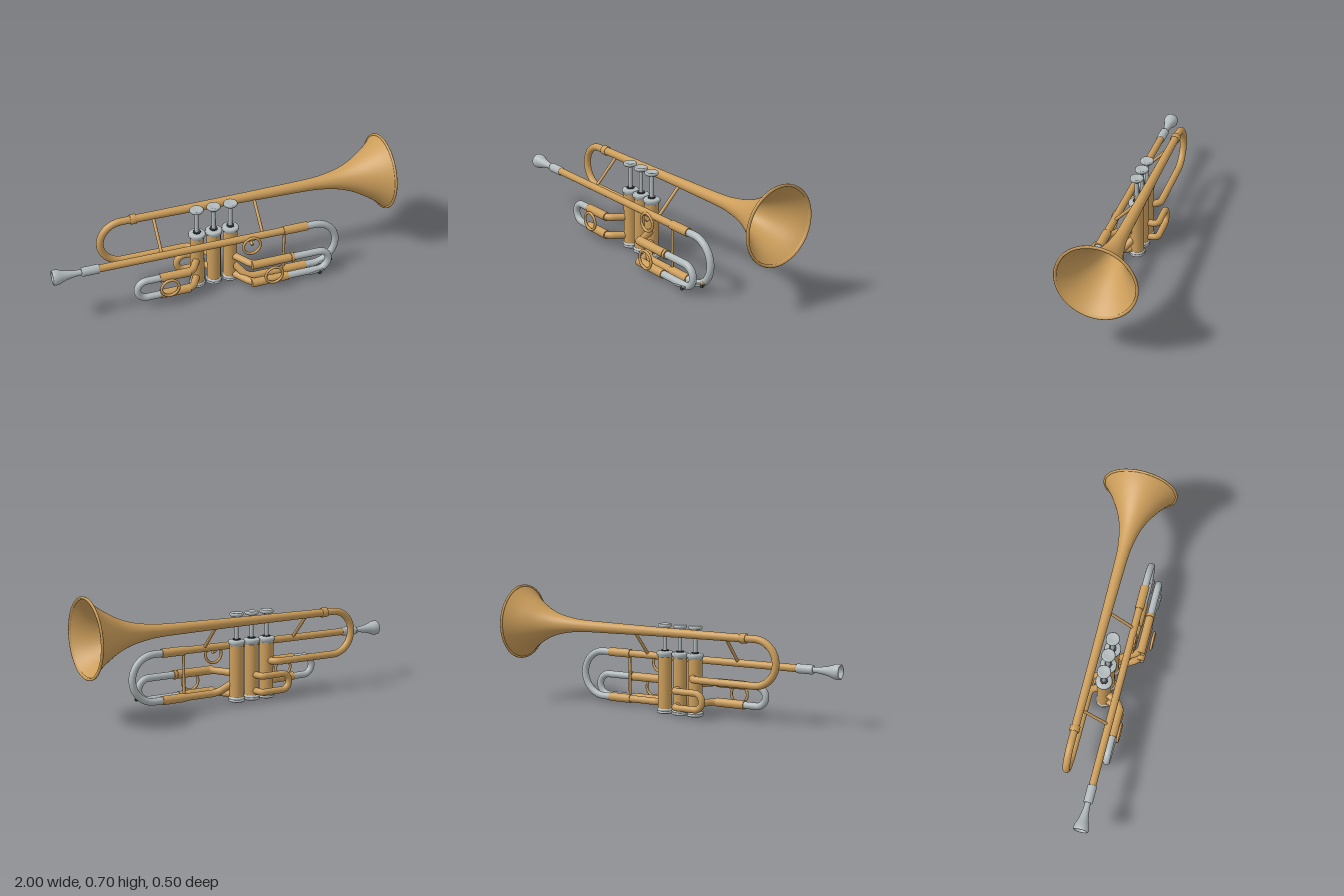
import * as THREE from 'three';

const mat = (name, color, side = THREE.FrontSide) => {
  const m = new THREE.MeshStandardMaterial({ color, side });
  m.name = name;
  return m;
};

export function createModel() {
  const root = new THREE.Group();
  root.name = 'trumpet';
  const brass = mat('brass', 0xcb9d5a, THREE.DoubleSide);
  const silver = mat('silver', 0xb2babc, THREE.DoubleSide);
  const felt = mat('dark felt', 0x3c3e40);
  const V = (x, y, z) => new THREE.Vector3(x, y, z);

  const add = (name, geo, material, x = 0, y = 0, z = 0) => {
    const m = new THREE.Mesh(geo, material);
    m.name = name;
    m.position.set(x, y, z);
    root.add(m);
    return m;
  };

  // tube along points, each inner corner rounded with the given bend length
  const pipe = (name, material, r, bend, pts) => {
    const p = pts.map((a) => V(...a));
    const path = new THREE.CurvePath();
    let last = p[0];
    const lineTo = (q) => {
      if (last.distanceTo(q) > 1e-4) path.add(new THREE.LineCurve3(last, q));
      last = q;
    };
    for (let i = 1; i < p.length - 1; i++) {
      const toward = (q, d) => p[i].clone().add(q.clone().sub(p[i]).setLength(d));
      const a = toward(p[i - 1], bend), b = toward(p[i + 1], bend);
      lineTo(a);
      path.add(new THREE.CubicBezierCurve3(a, a.clone().lerp(p[i], 0.5523), b.clone().lerp(p[i], 0.5523), b));
      last = b;
    }
    lineTo(p[p.length - 1]);
    const n = Math.max(8, Math.ceil(path.getLength() / 0.01));
    return add(name, new THREE.TubeGeometry(path, n, r, 20), material);
  };

  // closed rod between two points
  const rod = (name, material, r, a, b) => {
    const A = V(...a), B = V(...b), d = B.clone().sub(A);
    const m = add(name, new THREE.CylinderGeometry(r, r, d.length(), 24), material);
    m.position.copy(A).lerp(B, 0.5);
    m.quaternion.setFromUnitVectors(V(0, 1, 0), d.normalize());
    return m;
  };
  const rodX = (name, material, r, x0, x1, y, z) => rod(name, material, r, [x0, y, z], [x1, y, z]);

  // lathe around the x axis, profile given as [x, radius]
  const latheX = (name, material, prof, y, z, seg = 64) => {
    const g = new THREE.LatheGeometry(prof.map(([x, r]) => new THREE.Vector2(r, x)), seg);
    g.rotateZ(-Math.PI / 2);
    return add(name, g, material, 0, y, z);
  };

  // bell flare
  const BY = 0.475, BZ = -0.028;
  const flare = new THREE.SplineCurve([
    [-0.5, 0.022], [0, 0.026], [0.3, 0.03], [0.55, 0.035], [0.65, 0.045], [0.74, 0.064],
    [0.82, 0.095], [0.9, 0.141], [0.95, 0.176], [0.992, 0.213],
  ].map((a) => new THREE.Vector2(...a)));
  latheX('bell', brass, flare.getPoints(60).map((v) => [v.x, v.y]), BY, BZ);
  latheX('bellRim', brass, [[0.99, 0.206], [0.986, 0.214], [0.989, 0.22], [0.996, 0.221],
    [1.0, 0.217], [1.0, 0.208], [0.99, 0.204]], BY, BZ);

  // bell crook running back into the first valve
  pipe('bellCrook', brass, 0.0205, 0.1275, [[-0.48, BY, BZ], [-0.6925, BY, BZ], [-0.6925, 0.22, BZ], [-0.38, 0.22, BZ]]);
  pipe('bellTail', brass, 0.0205, 0.035, [[-0.4, 0.22, BZ], [-0.17, 0.22, BZ], [-0.155, 0.22, 0.047]]);
  latheX('crookFerrule', brass, [[-0.515, 0.02], [-0.515, 0.028], [-0.482, 0.028], [-0.482, 0.02]], BY, BZ, 32);

  // valves
  const VZ = 0.047, valveX = [-0.155, -0.056, 0.043];
  const turned = (name, material, x, prof) =>
    add(name, new THREE.LatheGeometry(prof.map(([r, y]) => new THREE.Vector2(r, y)), 36), material, x, 0, VZ);
  for (const x of valveX) {
    rod('valveCasing', brass, 0.04, [x, 0.025, VZ], [x, 0.34, VZ]);
    turned('bottomCap', silver, x, [[0, 0], [0.042, 0], [0.047, 0.004], [0.047, 0.01], [0.043, 0.012],
      [0.043, 0.016], [0.047, 0.018], [0.047, 0.024], [0.04, 0.029]]);
    turned('topCap', silver, x, [[0.04, 0.325], [0.043, 0.328], [0.043, 0.335], [0.048, 0.337],
      [0.048, 0.35], [0.044, 0.355], [0.02, 0.358], [0, 0.358]]);
    rod('valveFelt', felt, 0.022, [x, 0.355, VZ], [x, 0.364, VZ]);
    rod('valveStem', silver, 0.012, [x, 0.35, VZ], [x, 0.495, VZ]);
    turned('fingerButton', silver, x, [[0, 0.488], [0.016, 0.489], [0.034, 0.494], [0.039, 0.5],
      [0.039, 0.509], [0.034, 0.514], [0.026, 0.511], [0, 0.509]]);
  }

  // leadpipe, receiver and mouthpiece
  const LY = 0.31, LZ = 0.132;
  rodX('leadpipe', brass, 0.021, -0.76, 0.35, LY, LZ);
  latheX('receiver', silver, [[-0.84, 0.015], [-0.84, 0.024], [-0.835, 0.026], [-0.745, 0.026], [-0.74, 0.02]], LY, LZ, 32);
  latheX('mouthpiece', silver, [[-0.95, 0.006], [-0.965, 0.02], [-0.988, 0.03], [-0.997, 0.033], [-1, 0.037],
    [-0.997, 0.042], [-0.985, 0.043], [-0.968, 0.041], [-0.95, 0.034], [-0.925, 0.026], [-0.89, 0.02],
    [-0.87, 0.017], [-0.82, 0.015]], LY, LZ, 32);

  // main tuning slide
  pipe('mainTuningSlide', silver, 0.0205, 0.135, [[0.44, LY, LZ], [0.656, LY, LZ], [0.656, 0.04, LZ], [0.44, 0.04, LZ]]);
  for (const y of [LY, 0.04]) rodX('mainSlideSleeve', brass, 0.0255, 0.33, 0.475, y, LZ);
  pipe('mainSlideReturn', brass, 0.021, 0.04, [[0.35, 0.04, LZ], [0.12, 0.04, LZ], [0.043, 0.12, 0.05]]);
  rod('slideBrace', brass, 0.008, [0.337, 0.04, LZ], [0.337, LY, LZ]);

  // third valve slide
  const TZ = 0.195;
  pipe('thirdSlide', silver, 0.0205, 0.0625, [[0.33, 0.163, TZ], [0.59, 0.163, TZ], [0.59, 0.038, TZ], [0.31, 0.038, TZ]]);
  [[0.163, 0.35], [0.038, 0.34]].forEach(([y, end]) => {
    rodX('thirdSlideSleeve', brass, 0.025, 0.12, end, y, TZ);
    pipe('thirdSlideBranch', brass, 0.0205, 0.04, [[0.2, y, TZ], [0.13, y, TZ], [0.043, y, VZ]]);
  });
  rodX('thirdSlideFerrule', brass, 0.027, 0.355, 0.372, 0.163, TZ);

  // first valve slide
  const FZ = 0.16;
  pipe('firstSlide', silver, 0.02, 0.056, [[-0.38, 0.182, FZ], [-0.541, 0.182, FZ], [-0.541, 0.07, FZ], [-0.38, 0.07, FZ]]);
  for (const y of [0.182, 0.07]) {
    rodX('firstSlideSleeve', brass, 0.025, -0.41, -0.235, y, FZ);
    pipe('firstSlideBranch', brass, 0.0205, 0.03, [[-0.28, y, FZ], [-0.22, y, FZ], [-0.155, y, VZ]]);
  }

  // second valve slide, turned back behind the first valve
  const SZ = -0.045;
  pipe('secondSlide', brass, 0.019, 0.046, [[-0.12, 0.149, SZ], [-0.25, 0.149, SZ], [-0.25, 0.055, SZ], [-0.12, 0.055, SZ]]);
  for (const y of [0.149, 0.055])
    pipe('secondSlideBranch', brass, 0.019, 0.02, [[-0.14, y, SZ], [-0.07, y, SZ], [-0.056, y, VZ]]);

  // diagonal braces between bell tube and leadpipe
  for (const x of [-0.385, 0.207]) rod('bodyBrace', brass, 0.009, [x, BY, BZ], [x, LY, LZ]);

  // finger rings
  for (const [x, y, z] of [[-0.36, 0.122, 0.19], [0.238, 0.1, 0.242], [0.135, 0.265, 0.152]])
    add('fingerRing', new THREE.TorusGeometry(0.051, 0.008, 12, 40), brass, x, y, z);
  rod('ringPost', brass, 0.009, [0.135, 0.285, LZ], [0.135, 0.275, 0.158]);

  // water keys
  rod('waterKeySpout', brass, 0.01, [0.6, 0.085, LZ], [0.625, 0.065, 0.155]);
  rod('waterKeyLever', silver, 0.005, [0.55, 0.045, 0.158], [0.625, 0.072, 0.158]);
  rod('waterKeyPad', felt, 0.011, [0.62, 0.06, 0.156], [0.62, 0.06, 0.163]);
  rod('waterKeySpout', brass, 0.009, [0.53, 0.036, TZ], [0.53, 0.034, 0.22]);
  rod('waterKeyLever', silver, 0.005, [0.47, 0.03, 0.22], [0.555, 0.045, 0.22]);
  rod('waterKeyPad', felt, 0.012, [0.53, 0.032, 0.218], [0.53, 0.032, 0.225]);

  return root;
}
